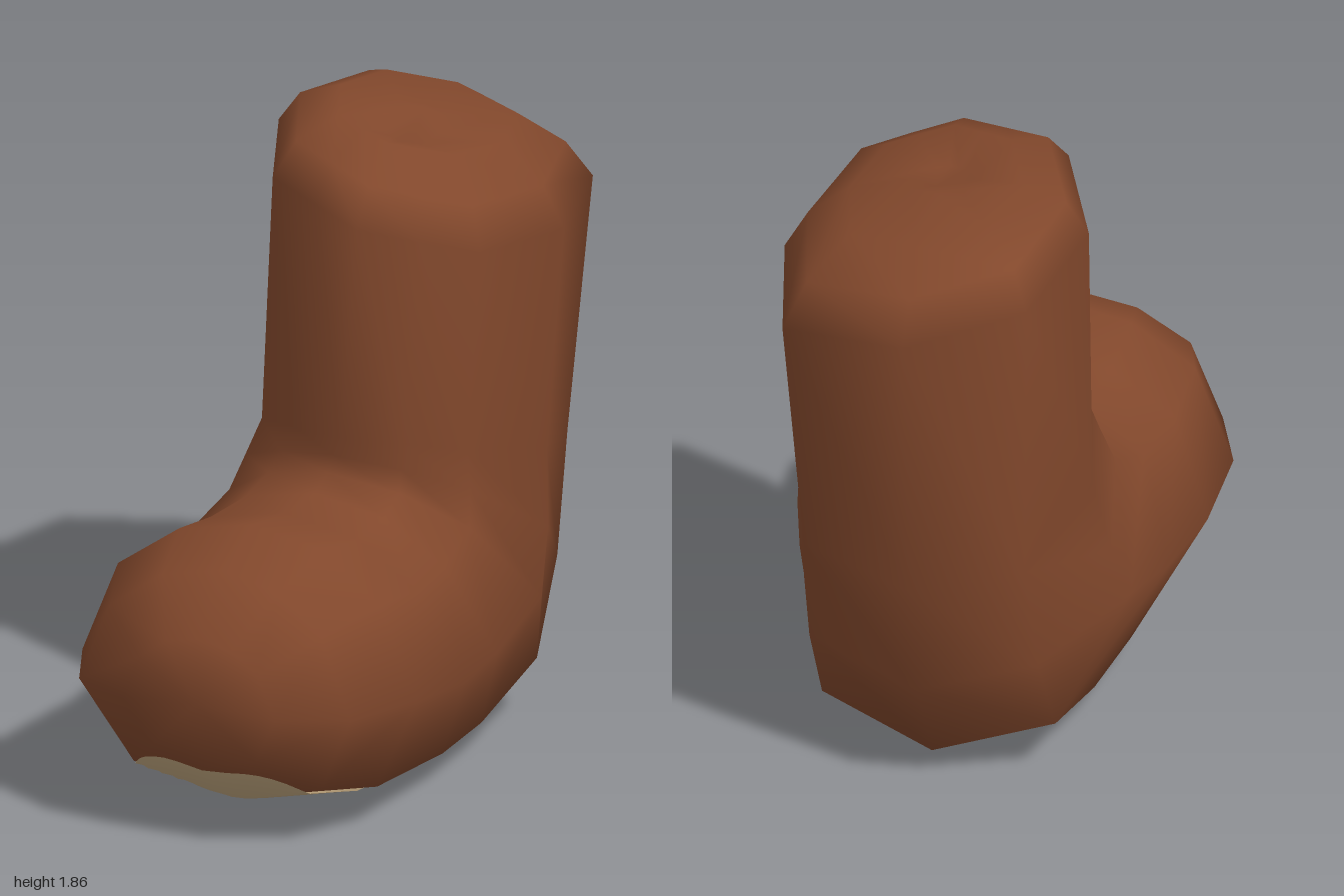
import * as THREE from 'three';
import { mergeVertices } from 'three/addons/utils/BufferGeometryUtils.js';

// Cross-section outlines: [sideways, 0 = sole/back .. 1 = instep/shin]
const FOOT = [[0, 1], [0.43, 0.95], [0.78, 0.8], [1, 0.47], [0.69, 0.11], [0, 0],
  [-0.69, 0.11], [-1, 0.47], [-0.78, 0.8], [-0.43, 0.95]];
const LEG = [[0.12, 1], [0.28, 0.93], [0.43, 0.855], [0.5, 0.51], [0.37, 0.12], [-0.03, 0],
  [-0.35, 0.14], [-0.41, 0.5], [-0.22, 0.87], [-0.05, 0.935]];

// Sections from toe to leg top:
// [inner z, inner y, outer z, outer y, foot half width, leg blend, leg scale, tilt, forward bulge of the sides]
const SECTIONS = [
  [0.995, 0.46, 0.995, 0.46, 0, 0, 1, 0, 0],
  [0.975, 0.65, 0.93, 0.25, 0.24, 0, 1, 0, 0.02],
  [0.82, 0.81, 0.74, 0.10, 0.43, 0, 1, 0, 0.09],
  [0.62, 0.885, 0.52, 0.035, 0.53, 0, 1, 0, 0.07],
  [0.40, 0.85, 0.05, 0.005, 0.54, 0, 1, 0, 0.13],
  [0.21, 0.85, -0.25, 0.0, 0.51, 0, 1, 0, 0.1],
  [0.16, 0.90, -0.62, 0.08, 0.50, 0.15, 1, 0, 0],
  [0.17, 0.96, -0.79, 0.37, 0.475, 0.35, 1, 0, 0],
  [0.18, 1.02, -0.89, 0.75, 0.44, 0.6, 0.95, 0, 0],
  [0.18, 1.68, -1.0, 1.60, 0, 1, 1, 0.21, 0],
  [0.08, 1.78, -0.90, 1.71, 0, 1, 0.85, 0.21, 0],
  [-0.09, 1.845, -0.74, 1.795, 0, 1, 0.57, 0.18, 0],
  [-0.24, 1.79, -0.47, 1.825, 0, 1, 0.2, 0.15, 0],
  [-0.43, 1.82, -0.43, 1.82, 0, 1, 0, 0, 0],
];

function smoothGeometry(pos, index) {
  let g = new THREE.BufferGeometry();
  g.setAttribute('position', new THREE.Float32BufferAttribute(pos, 3));
  g.setIndex(index);
  g = mergeVertices(g, 1e-4);
  g.computeVertexNormals();
  return g;
}

function bodyGeometry() {
  const n = FOOT.length, pos = [], index = [];
  for (const [iz, iy, oz, oy, half, blend, scale, tilt, bulge] of SECTIONS) {
    for (let k = 0; k < n; k++) {
      const legX = 0.04 + (LEG[k][0] - 0.04) * scale;
      const x = THREE.MathUtils.lerp(FOOT[k][0] * half, legX, blend);
      const t = THREE.MathUtils.lerp(FOOT[k][1], LEG[k][1], blend);
      pos.push(x, oy + (iy - oy) * t - x * tilt, oz + (iz - oz) * t + 4 * t * (1 - t) * bulge);
    }
  }
  const last = SECTIONS.length - 1;
  for (let i = 0; i < last; i++) {
    for (let k = 0; k < n; k++) {
      const a = i * n + k, b = i * n + (k + 1) % n;
      if (i > 0) index.push(a, b, a + n);
      if (i < last - 1) index.push(b, b + n, a + n);
    }
  }
  return smoothGeometry(pos, index);
}

// Rounded patch draped on the underside of the foot, sharing the foot's smooth normals
function patchGeometry(body) {
  const rings = 12, segs = 48, pos = [], normals = [], index = [];
  const ray = new THREE.Raycaster(), up = new THREE.Vector3(0, 1, 0);
  const soft = (v) => Math.sign(v) * Math.pow(Math.abs(v), 0.7);
  for (let r = 0; r <= rings; r++) {
    for (let s = 0; s < segs; s++) {
      const a = (s / segs) * Math.PI * 2, f = r / rings;
      const x = -0.02 + 0.325 * f * soft(Math.cos(a));
      const z = 0.445 + 0.465 * f * soft(Math.sin(a));
      ray.set(new THREE.Vector3(x, -1, z), up);
      const hit = ray.intersectObject(body)[0];
      pos.push(x, Math.max(0, hit.point.y - 0.008), z);
      normals.push(...hit.normal.toArray());
    }
  }
  for (let r = 0; r < rings; r++) {
    for (let s = 0; s < segs; s++) {
      const a = r * segs + s, b = r * segs + (s + 1) % segs;
      if (r > 0) index.push(a, a + segs, b);
      index.push(b, a + segs, b + segs);
    }
  }
  const g = new THREE.BufferGeometry();
  g.setAttribute('position', new THREE.Float32BufferAttribute(pos, 3));
  g.setAttribute('normal', new THREE.Float32BufferAttribute(normals, 3));
  g.setIndex(index);
  return g;
}

export function createModel() {
  const brown = new THREE.MeshStandardMaterial({ color: 0x82482c });
  brown.name = 'brown';
  const tan = new THREE.MeshStandardMaterial({ color: 0xc0a67e, side: THREE.DoubleSide });
  tan.name = 'tan';

  const group = new THREE.Group();
  group.name = 'leg';

  // Foot and lower leg in one bent loft
  const body = new THREE.Mesh(bodyGeometry(), brown);
  body.name = 'footAndLeg';
  body.updateMatrixWorld();
  group.add(body);

  // Pad under the front of the foot
  const pad = new THREE.Mesh(patchGeometry(body), tan);
  pad.name = 'solePad';
  group.add(pad);
  return group;
}
